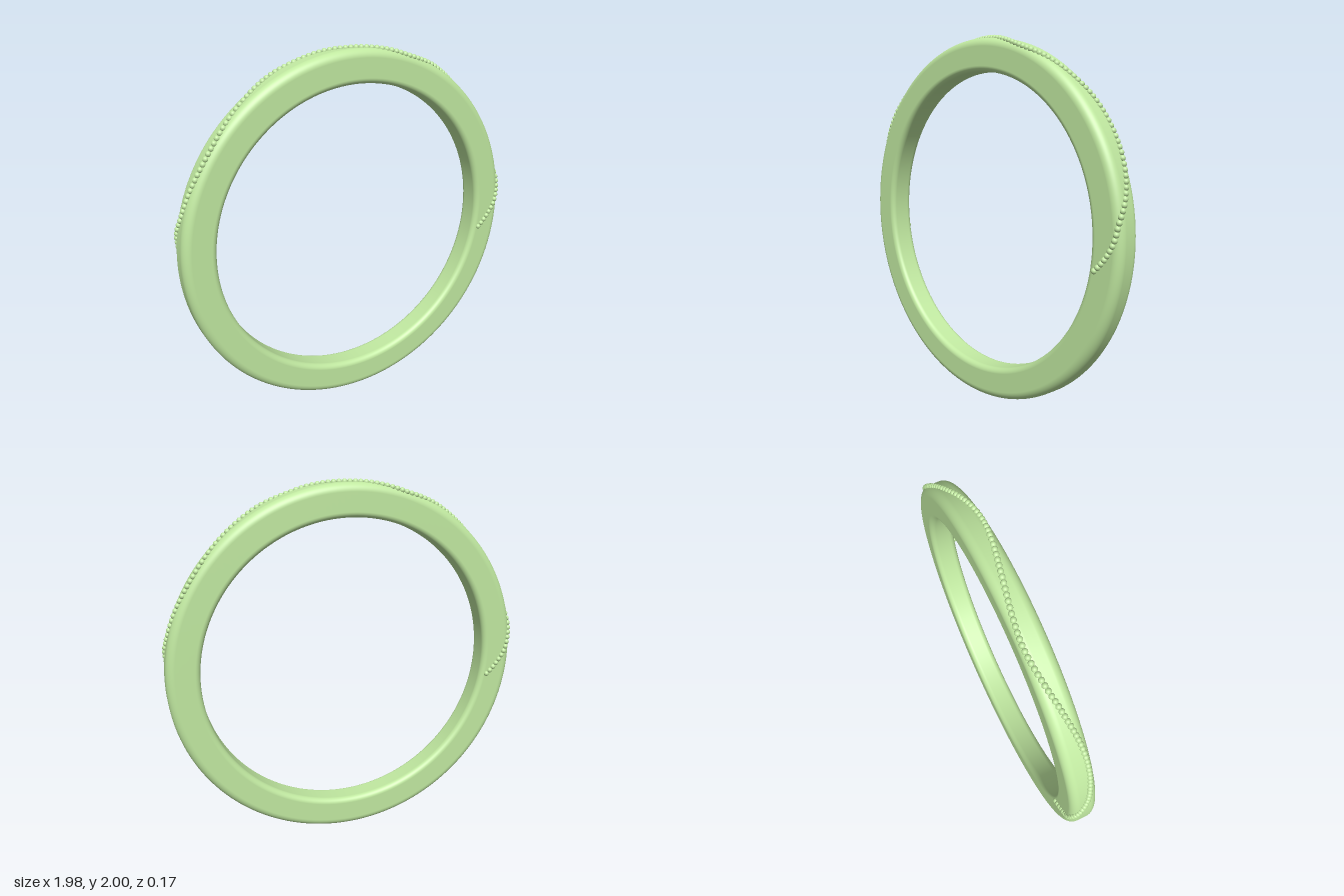
import * as THREE from 'three';

const OUTER = 0.992, INNER = 0.815, HALF = 0.071, CENTER_Y = 0.992;
const OUTER_ROUND = 0.045, INNER_ROUND = 0.03, BEAD = 0.015;

// Cross-section of the band (x = radius, y = depth), starting mid-way on the outer face
function bandSection() {
  const p = new THREE.Path();
  const o = OUTER - OUTER_ROUND, oz = HALF - OUTER_ROUND;
  const i = INNER + INNER_ROUND, iz = HALF - INNER_ROUND;
  p.moveTo(OUTER, 0);
  p.lineTo(OUTER, oz);
  p.absarc(o, oz, OUTER_ROUND, 0, Math.PI / 2);
  p.lineTo(i, HALF);
  p.absarc(i, iz, INNER_ROUND, Math.PI / 2, Math.PI);
  p.lineTo(INNER, -iz);
  p.absarc(i, -iz, INNER_ROUND, Math.PI, Math.PI * 1.5);
  p.lineTo(o, -HALF);
  p.absarc(o, -oz, OUTER_ROUND, Math.PI * 1.5, Math.PI * 2);
  p.lineTo(OUTER, 0);
  return p;
}

// Half of the bead line: [angle in degrees, distance across the band's surface from its outer centre line]
const WAVE = [
  [-8.8, 0.19], [-4.4, 0.139], [0.5, 0.093], [6.4, 0.062], [11, 0.029], [15, 0],
  [21, -0.025], [31, -0.043], [41, -0.036], [52.6, 0], [60, 0.027], [70, 0.051], [79, 0.038],
];

export function createModel() {
  const group = new THREE.Group();
  const material = new THREE.MeshStandardMaterial({ color: 0xc0e8a0 });
  const section = bandSection();

  // Band
  const bandGeometry = new THREE.LatheGeometry(section.getPoints(10), 160);
  bandGeometry.rotateX(Math.PI / 2);
  const band = new THREE.Mesh(bandGeometry, material);
  band.name = 'band';
  band.position.y = CENTER_Y;
  group.add(band);

  // Wavy line over the top, the second half being the first turned half round the vertical axis
  const mirrored = WAVE.map(([a, s]) => [180 - a, -s]).reverse();
  const wave = new THREE.SplineCurve(
    [...WAVE, [90, 0], ...mirrored].map(([a, s]) => new THREE.Vector2(a, s * 100)));
  const length = section.getLength();
  const path = wave.getPoints(400).map(({ x, y }) => {
    const p = section.getPointAt(Math.abs(y / 100) / length);
    const a = THREE.MathUtils.degToRad(x);
    return new THREE.Vector3(p.x * Math.cos(a), CENTER_Y + p.x * Math.sin(a), p.y * Math.sign(y));
  });

  // Beads set evenly along the line
  const line = new THREE.CatmullRomCurve3(path);
  line.arcLengthDivisions = 1600;
  const beads = new THREE.Group();
  beads.name = 'beads';
  const beadGeometry = new THREE.SphereGeometry(BEAD, 16, 12);
  const count = Math.round(line.getLength() / 0.028);
  for (const point of line.getSpacedPoints(count)) {
    const bead = new THREE.Mesh(beadGeometry, material);
    bead.name = 'bead';
    bead.position.copy(point);
    beads.add(bead);
  }
  group.add(beads);
  return group;
}
